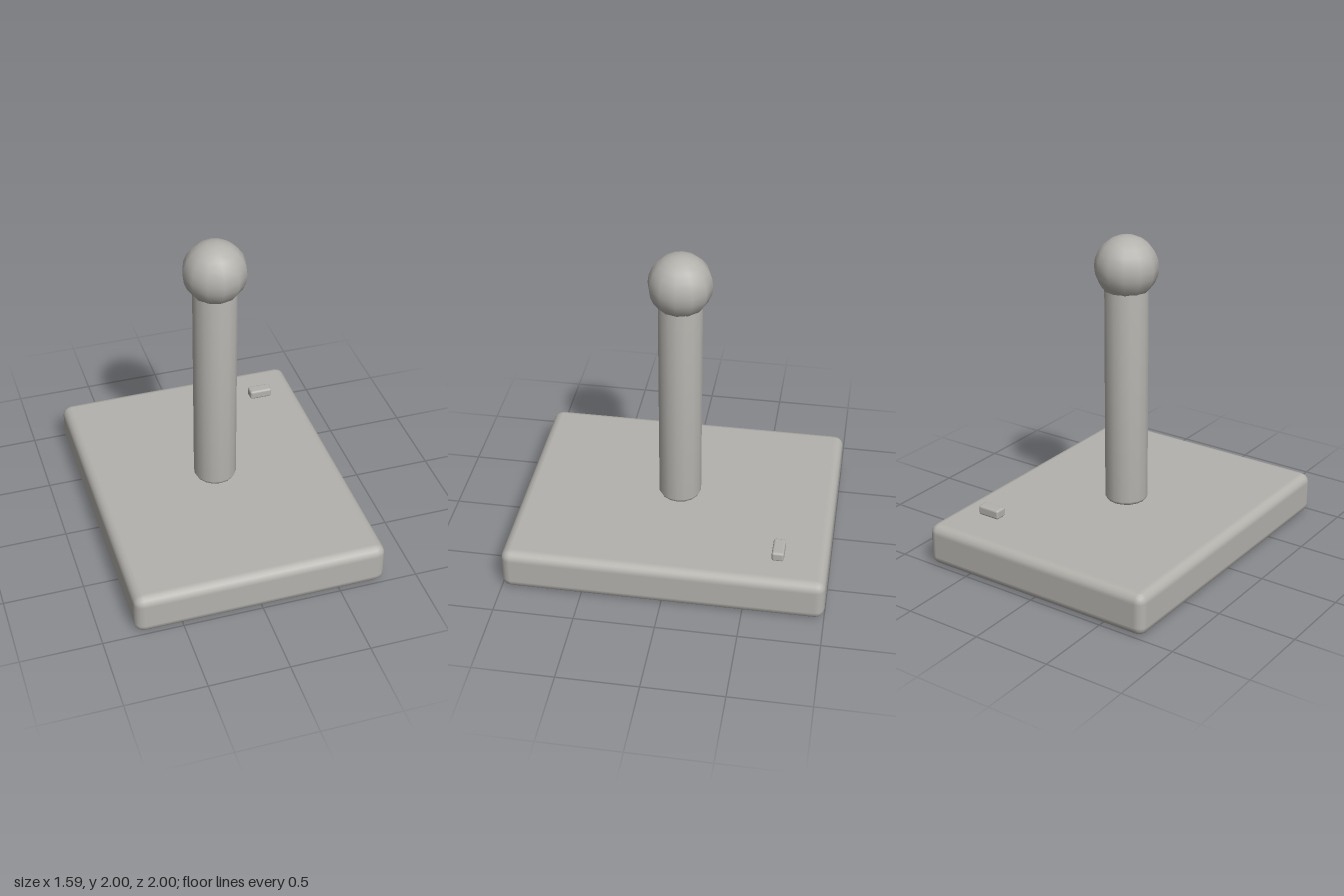
import * as THREE from 'three';
import { RoundedBoxGeometry } from 'three/addons/geometries/RoundedBoxGeometry.js';

export function createModel() {
  const model = new THREE.Group();
  const grey = new THREE.MeshStandardMaterial({ color: 0xb4b2ad });
  grey.name = 'warmGrey';

  const add = (name, geometry, x, y, z) => {
    const mesh = new THREE.Mesh(geometry, grey);
    mesh.name = name;
    mesh.position.set(x, y, z);
    model.add(mesh);
  };

  // Thick base slab with softened edges
  add('base', new RoundedBoxGeometry(1.59, 0.27, 2, 2, 0.06), 0, 0.135, 0);

  // Upright post with a small rounded foot
  const postProfile = [
    [0, 0.27], [0.105, 0.27], [0.125, 0.279], [0.136, 0.3], [0.136, 1.7], [0, 1.7],
  ].map(([r, y]) => new THREE.Vector2(r, y));
  add('post', new THREE.LatheGeometry(postProfile, 16), 0, 0, 0);

  // Ball knob on top
  add('ballKnob', new THREE.SphereGeometry(0.196, 12, 12), 0, 1.804, 0);

  // Small button hovering just above the back left corner of the base
  add('button', new RoundedBoxGeometry(0.152, 0.062, 0.076, 2, 0.015), 0.535, 0.31, -0.692);

  return model;
}
